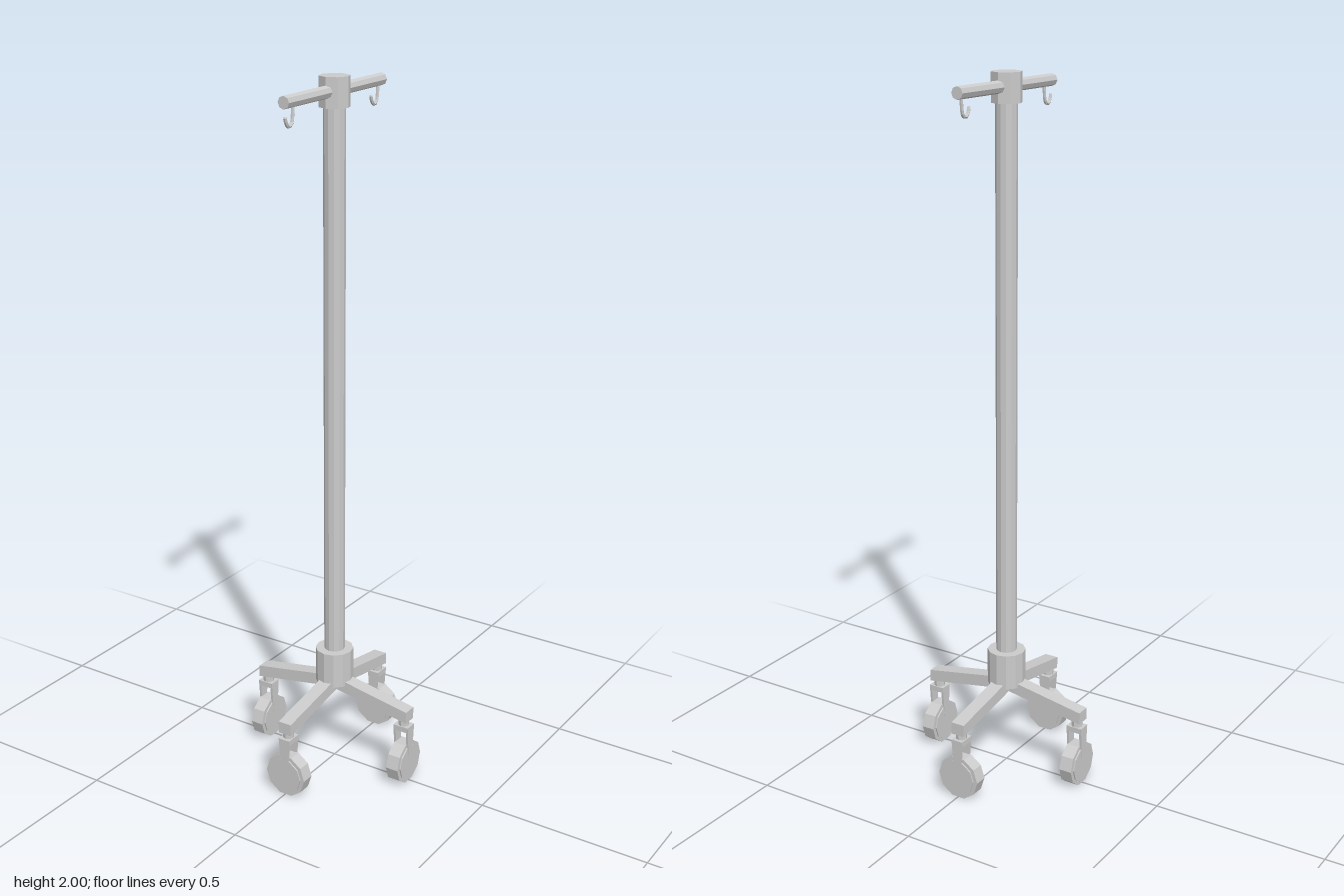
import * as THREE from 'three';

const material = new THREE.MeshStandardMaterial({ color: 0xcccccc, flatShading: true });

function add(parent, name, geometry, x = 0, y = 0, z = 0) {
  const mesh = new THREE.Mesh(geometry, material);
  mesh.name = name;
  mesh.position.set(x, y, z);
  parent.add(mesh);
  return mesh;
}

// Upright faceted cylinder between two heights
function post(parent, name, radius, bottom, top, sides, x = 0) {
  return add(parent, name, new THREE.CylinderGeometry(radius, radius, top - bottom, sides), x, (bottom + top) / 2);
}

// Polygon in the xy plane, extruded symmetrically about z = 0
function slab(points, depth) {
  const shape = new THREE.Shape(points.map(([x, y]) => new THREE.Vector2(x, y)));
  return new THREE.ExtrudeGeometry(shape, { depth, bevelEnabled: false }).translate(0, 0, -depth / 2);
}

// Swivel caster whose axle points along the leg (x)
function createCaster() {
  const caster = new THREE.Group();
  caster.name = 'caster';
  const wheelY = 0.062;
  const disc = (radius, width) => new THREE.CylinderGeometry(radius, radius, width, 10).rotateZ(Math.PI / 2);
  add(caster, 'wheelTread', disc(0.0645, 0.038), 0, wheelY);
  add(caster, 'wheelHub', disc(0.053, 0.046), 0, wheelY);
  post(caster, 'casterStem', 0.016, 0.165, 0.215, 8);
  add(caster, 'forkCrown', new THREE.BoxGeometry(0.042, 0.016, 0.036), 0, 0.172);

  // Two tapering fork plates straddling the wheel
  for (const side of [-1, 1]) {
    const plate = slab([[-0.01, 0.084], [0.01, 0.084], [0.018, 0.18], [-0.018, 0.18]], 0.007);
    add(caster, 'forkPlate', plate.rotateY(Math.PI / 2), side * 0.0205);
  }
  return caster;
}

// Sloping leg with its caster, reaching out along +x
function createLeg() {
  const leg = new THREE.Group();
  leg.name = 'leg';
  add(leg, 'legBeam', slab([[0, 0.24], [0.257, 0.196], [0.257, 0.231], [0, 0.276]], 0.041));
  const caster = createCaster();
  caster.position.x = 0.238;
  leg.add(caster);
  return leg;
}

export function createModel() {
  const stand = new THREE.Group();
  stand.name = 'rollingStand';

  // Base
  for (let i = 0; i < 4; i++) {
    const leg = createLeg();
    leg.rotation.y = i * Math.PI / 2;
    stand.add(leg);
  }
  post(stand, 'baseHub', 0.055, 0.255, 0.36, 12);

  // Mast
  post(stand, 'pole', 0.03, 0.26, 1.95, 12);
  post(stand, 'topCollar', 0.042, 1.92, 2, 8);

  // Slightly tilted crossbar with hanging hooks
  const crossbar = new THREE.Group();
  crossbar.name = 'crossbar';
  crossbar.position.y = 1.962;
  crossbar.rotation.x = 0.012;
  stand.add(crossbar);
  add(crossbar, 'bar', new THREE.CylinderGeometry(0.017, 0.017, 0.46, 8).rotateX(Math.PI / 2));

  const hookPath = new THREE.CatmullRomCurve3([
    [-0.02, -0.008], [-0.017, -0.035], [-0.013, -0.054], [-0.002, -0.063], [0.01, -0.055], [0.016, -0.04],
  ].map(([z, y]) => new THREE.Vector3(0, y, z)));
  for (const z of [-0.192, 0.208]) {
    add(crossbar, 'hook', new THREE.TubeGeometry(hookPath, 10, 0.005, 6), 0, 0, z);
    const tip = hookPath.getPoint(1);
    add(crossbar, 'hookTip', new THREE.SphereGeometry(0.005, 6, 4), tip.x, tip.y, tip.z + z);
  }
  return stand;
}
